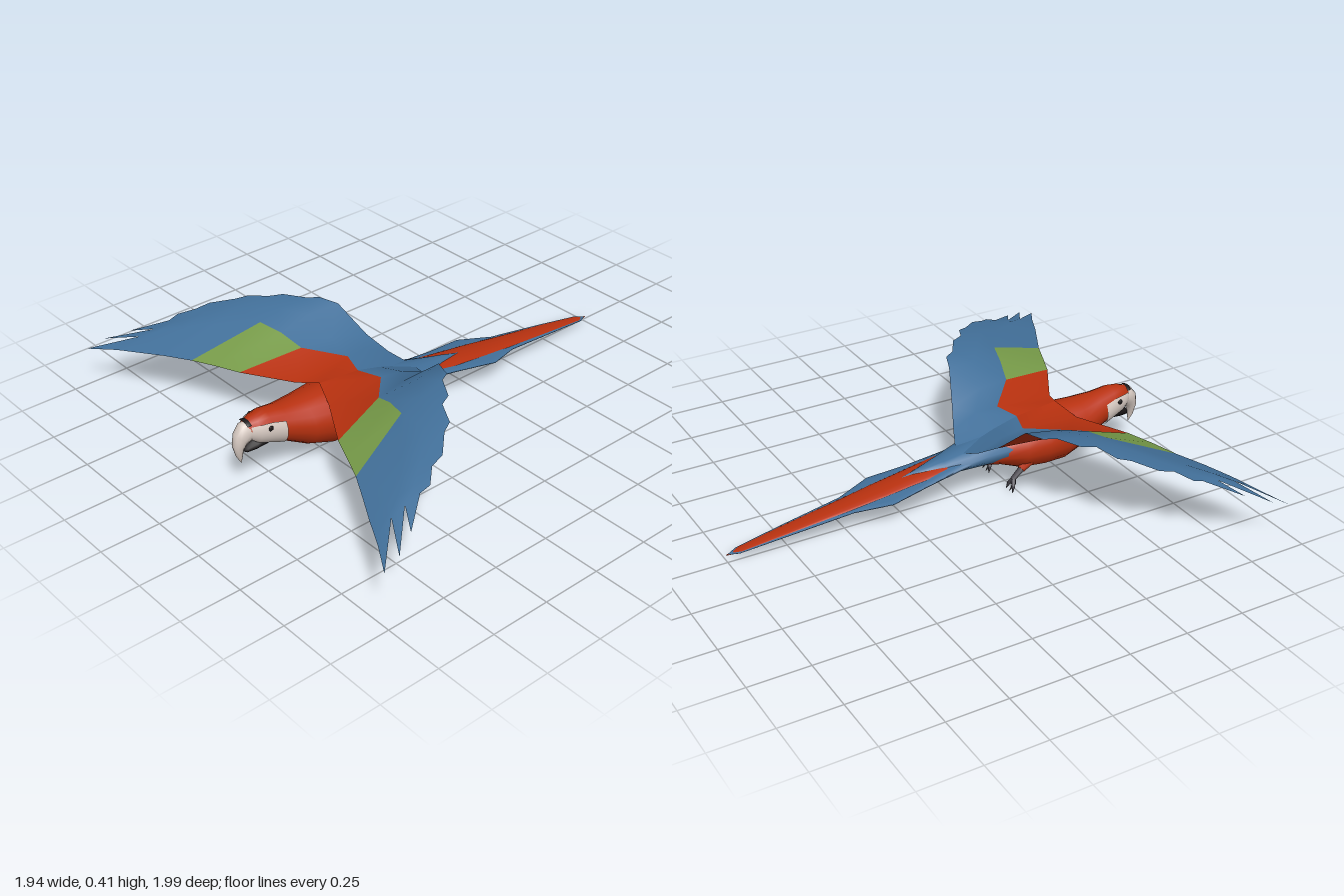
import * as THREE from 'three';

const mat = (name, color, side = THREE.FrontSide) =>
  Object.assign(new THREE.MeshStandardMaterial({ color, side }), { name });

// Smooth indexed geometry from points and triangles
function build(points, index) {
  const g = new THREE.BufferGeometry();
  g.setAttribute('position', new THREE.Float32BufferAttribute(points.flat(), 3));
  g.setIndex(index);
  g.computeVertexNormals();
  return g;
}

// Skin over oval sections [z, y, halfWidth, halfHeight, tilt], listed front to back.
// A shorter arc (from, to) gives an open patch.
function loft(sections, n = 14, from = 0, to = Math.PI * 2) {
  const closed = to - from > 6.28, cols = closed ? n : n + 1;
  const pts = [], idx = [];
  sections.forEach(([z, y, rx, ry, tilt = 0], i) => {
    for (let k = 0; k < cols; k++) {
      const t = from + (to - from) * k / n, up = ry * Math.cos(t);
      pts.push([rx * Math.sin(t), y + up * Math.cos(tilt), z + up * Math.sin(tilt)]);
    }
    if (i === sections.length - 1) return;
    for (let k = 0; k < n; k++) {
      const a = i * cols + k, b = i * cols + (k + 1) % cols;
      idx.push(a, b, a + cols, b, b + cols, a + cols);
    }
  });
  return build(pts, idx);
}

// Wing stations from spine to hand: leading edge, colour border, middle, trailing edge
const STATIONS = [
  [[.015, .305, .5], [.015, .285, .31], [.015, .255, .2], [.015, .19, .02]],
  [[.12, .275, .54], [.12, .29, .28], [.13, .28, .18], [.12, .23, .07]],
  [[.33, .275, .665], [.26, .32, .41], [.24, .325, .27], [.21, .29, .115]],
  [[.435, .275, .71], [.36, .36, .44], [.35, .395, .3], [.33, .405, .17]],
  [[.54, .27, .755], [.46, .375, .47], [.46, .405, .38], [.44, .417, .25]],
  [[.65, .265, .815], [.61, .35, .6], [.6, .39, .49], [.56, .415, .36]],
  [[.75, .255, .87], [.7, .33, .68], [.69, .36, .58], [.67, .39, .45]],
  [[.83, .245, .91], [.77, .31, .76], [.77, .325, .68], [.76, .355, .59]],
  [[.86, .24, .925], [.82, .285, .83], [.81, .3, .76], [.81, .315, .69]],
];
const FINGERS = [[.97, .22, .99], [.96, .245, .915], [.91, .27, .82]];

// Shared skin of one wing; the right one is swept and rolled a little differently
function wingSkin(right, under, red, green, blue) {
  const last = STATIONS.length - 1, pts = [];
  const faces = { red: [], green: [], blue: [] };
  STATIONS.forEach((row, i) => row.forEach(([x, y, z], j) => {
    const thick = under && j > 0 && j < 3 ? .034 - .0035 * i : 0;
    pts.push([x, y - thick, z]);
  }));
  const at = (i, j) => i * 4 + j;
  for (let i = 0; i < last; i++) {
    for (let j = 0; j < 3; j++) {
      const name = under ? 'red' : j > 0 || i > 3 ? 'blue' : i < 2 ? 'red' : 'green';
      faces[name].push(at(i, j), at(i + 1, j), at(i + 1, j + 1), at(i, j), at(i + 1, j + 1), at(i, j + 1));
    }
    // Feather points along the trailing edge
    if (i > 2) {
      const p = STATIONS[i][3], q = STATIONS[i + 1][3];
      const dx = q[0] - p[0], dz = q[2] - p[2], s = .022 / Math.hypot(dx, dz);
      pts.push([p[0] + dx * .65 + dz * s, p[1] * .35 + q[1] * .65, p[2] + dz * .65 - dx * s]);
      faces[under ? 'red' : 'blue'].push(at(i, 3), at(i + 1, 3), pts.length - 1);
    }
  }
  // Long flight feathers at the tip
  FINGERS.forEach((tip, j) => {
    pts.push(tip);
    faces[under && j > 0 ? 'red' : 'blue'].push(at(last, j), pts.length - 1, at(last, j + 1));
  });
  const placed = right
    ? pts.map(([x, y, z]) => [.03 - x - .06 * x * (z - .4), y - .035 * (x - .015), z - .055 * (x - .015)])
    : pts;
  const index = [...faces.red, ...faces.green, ...faces.blue];
  if (right !== under) {
    for (let k = 0; k < index.length; k += 3) [index[k + 1], index[k + 2]] = [index[k + 2], index[k + 1]];
  }
  const g = build(placed, index);
  let start = 0;
  ['red', 'green', 'blue'].forEach((name, m) => {
    if (faces[name].length) g.addGroup(start, faces[name].length, m);
    start += faces[name].length;
  });
  return new THREE.Mesh(g, [red, green, blue]);
}

export function createModel() {
  const red = mat('scarlet', 0xb8310f), blue = mat('feather blue', 0x42709a);
  const green = mat('feather green', 0x769a48), cream = mat('bare cream', 0xd6c9c1, THREE.DoubleSide);
  const black = mat('black', 0x1b1718), grey = mat('foot grey', 0x4b4850);

  const model = new THREE.Group();
  model.name = 'flyingParrot';
  const bird = new THREE.Group();
  bird.name = 'bodyGroup';
  bird.position.x = .015;
  model.add(bird);
  const add = (name, geometry, material, parent = bird) => {
    const m = new THREE.Mesh(geometry, material);
    m.name = name;
    parent.add(m);
    return m;
  };

  // Head and body
  add('body', loft([
    [.872, .255, .004, .004], [.855, .25, .032, .04], [.82, .243, .052, .058], [.77, .236, .066, .07],
    [.7, .217, .078, .077], [.6, .187, .107, .104], [.5, .172, .13, .122], [.4, .17, .135, .118],
    [.3, .166, .12, .105], [.2, .172, .097, .07], [.1, .168, .07, .045], [.02, .165, .01, .01],
  ], 18), red);

  // Rump and tail
  add('rump', loft([
    [.3, .185, .1, .05], [.22, .182, .102, .056], [.13, .176, .092, .055], [.05, .168, .086, .042],
    [-.05, .153, .058, .034], [-.14, .143, .03, .027], [-.23, .133, .002, .016],
  ]), blue);
  add('outerTail', loft([
    [.12, .175, .085, .03], [0, .16, .085, .022], [-.15, .138, .098, .011], [-.33, .114, .122, .008],
    [-.48, .094, .068, .007], [-.75, .06, .044, .005], [-.95, .033, .024, .003], [-.99, .028, .002, .002],
  ]), blue);
  add('middleTail', loft([
    [.04, .163, .07, .018], [-.05, .152, .075, .023], [-.2, .132, .068, .021], [-.33, .114, .065, .018],
    [-.5, .092, .052, .014], [-.75, .06, .037, .009], [-.94, .034, .022, .005], [-1, .026, .001, .001],
  ]), red);

  // Hooked upper beak, short lower beak and dark brow above the beak
  add('upperBeak', loft([
    [.882, .112, .001, .001, 1.45], [.89, .145, .012, .014, 1.35], [.893, .185, .022, .025, 1.1],
    [.882, .22, .031, .037, .7], [.862, .24, .037, .046, .3], [.835, .243, .038, .042, 0],
  ], 12), cream);
  add('lowerBeak', loft([
    [.872, .163, .003, .004], [.86, .168, .02, .016], [.825, .18, .036, .026], [.78, .19, .045, .03],
  ], 10), black);
  add('brow', loft([[.865, .262, .036, .03], [.856, .262, .04, .032], [.847, .262, .038, .032]], 10, -1, 1), black);

  for (const s of [1, -1]) {
    const side = s > 0 ? 'left' : 'right';
    // Bare cheek
    const middle = s * 1.75;
    add(side + 'Cheek', loft([
      [.85, .249, .04, .046], [.82, .243, .057, .063], [.77, .236, .071, .075], [.715, .22, .081, .08],
    ], 8, middle - .72, middle + .72), cream);
    // Eye
    const eye = add(side + 'Eye', new THREE.SphereGeometry(.011, 10, 8), black);
    eye.scale.x = .4;
    eye.position.set(s * .068, .257, .785);

    // Leg and toes
    const foot = new THREE.Group();
    foot.name = side + 'Foot';
    bird.add(foot);
    const limb = (name, a, b, ra, rb, material) => {
      const p = new THREE.Vector3(...a), q = new THREE.Vector3(...b), d = q.clone().sub(p);
      const m = add(name, new THREE.CylinderGeometry(rb, ra, d.length(), 7), material, foot);
      m.position.copy(p).addScaledVector(d, .5);
      m.quaternion.setFromUnitVectors(new THREE.Vector3(0, 1, 0), d.normalize());
    };
    limb('thigh', [s * .07, .15, .37], [s * .09, .085, .28], .04, .016, red);
    limb('shank', [s * .09, .09, .285], [s * .095, .05, .235], .014, .011, grey);
    for (const k of [-1, 0, 1]) {
      limb('toe', [s * .095, .055, .24], [s * .095 + k * .018, .028, .245 - .015 * Math.abs(k)], .01, .008, grey);
      limb('claw', [s * .095 + k * .018, .03, .245 - .015 * Math.abs(k)], [s * .095 + k * .025, .003, .222], .008, .001, grey);
    }

    // Wing, upper and lower skins
    const wing = new THREE.Group();
    wing.name = side + 'Wing';
    for (const under of [false, true]) {
      const skin = wingSkin(s < 0, under, red, green, blue);
      skin.name = under ? 'wingUnderside' : 'wingTop';
      wing.add(skin);
    }
    model.add(wing);
  }
  return model;
}
